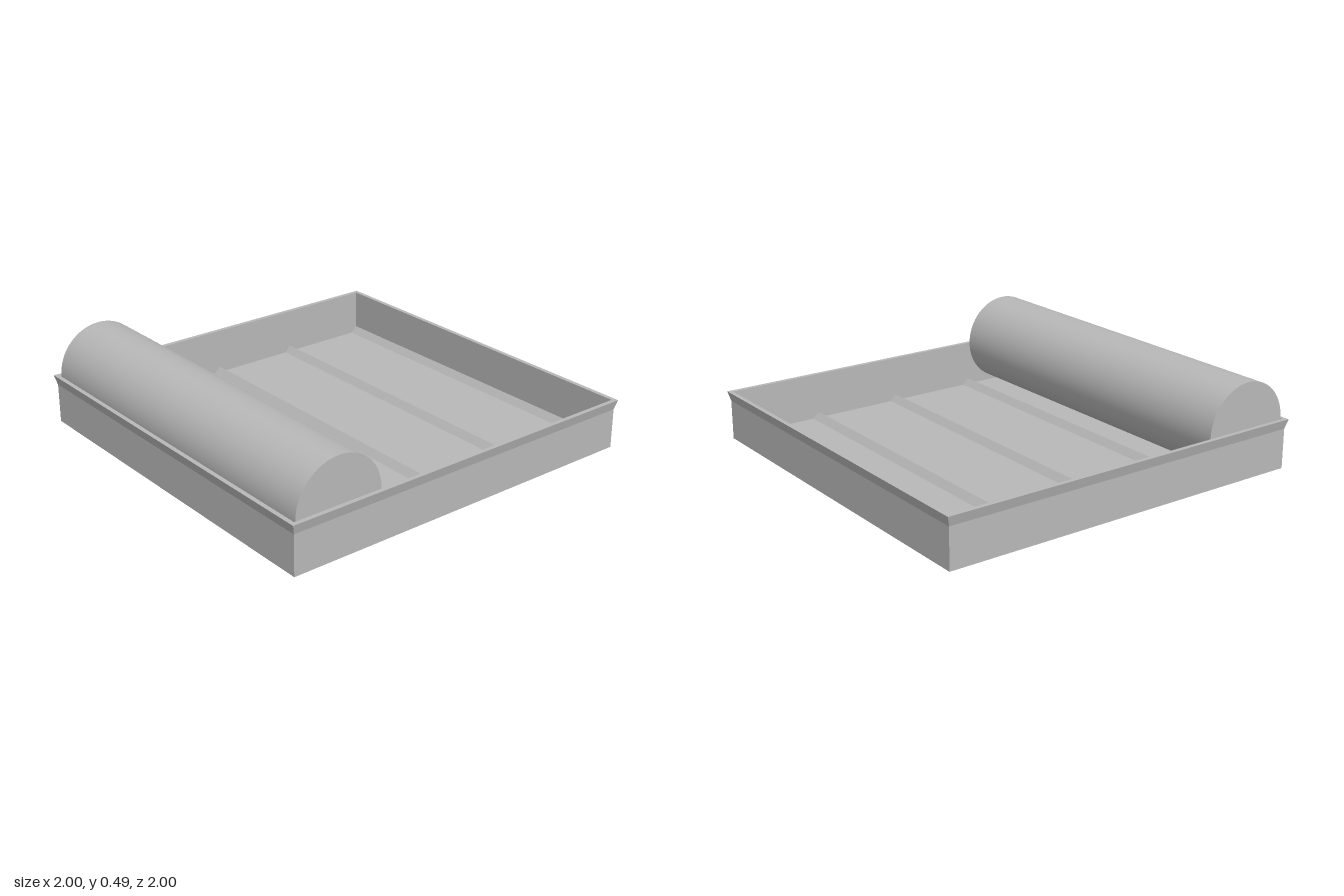
import * as THREE from 'three';

const grey = new THREE.MeshStandardMaterial({ color: 0xb8b8b8 });
grey.name = 'plain grey';

const INNER = 0.977; // half width inside the walls
const FLOOR = 0.012; // top of the floor

function addPart(group, name, geometry) {
  const mesh = new THREE.Mesh(geometry, grey);
  mesh.name = name;
  group.add(mesh);
  return mesh;
}

// Square tray: a wall profile turned in four steps, flaring out at the rim
function trayGeometry() {
  const profile = [
    [0, 0], [0.987, 0], [0.987, 0.205], [1, 0.255],
    [INNER, 0.255], [INNER, FLOOR], [0, FLOOR],
  ].map(([half, y]) => new THREE.Vector2(half * Math.SQRT2, y));
  const geometry = new THREE.LatheGeometry(profile, 4, Math.PI / 4).toNonIndexed();
  geometry.computeVertexNormals();
  return geometry;
}

// Triangular floor ridge along z; left and right are its half widths
function ridgeGeometry(left, right) {
  const shape = new THREE.Shape();
  shape.moveTo(-left, 0);
  shape.lineTo(right, 0);
  shape.lineTo(0, 0.033);
  shape.closePath();
  const geometry = new THREE.ExtrudeGeometry(shape, { depth: INNER * 2, bevelEnabled: false });
  return geometry.translate(0, 0, -INNER);
}

export function createModel() {
  const model = new THREE.Group();
  model.name = 'trayWithRoller';

  addPart(model, 'tray', trayGeometry());

  // Evenly spaced ridges, with half ridges against the side walls
  for (let i = -2; i <= 2; i++) {
    const left = i === -2 ? 0 : 0.033;
    const right = i === 2 ? 0 : 0.033;
    const ridge = addPart(model, 'ridge', ridgeGeometry(left, right));
    ridge.position.set(i * INNER / 2, FLOOR, 0);
  }

  // Roller lying in the first channel
  const roller = addPart(model, 'roller', new THREE.CylinderGeometry(0.234, 0.234, 1.95, 64));
  roller.rotation.x = Math.PI / 2;
  roller.position.set(-0.735, 0.255, 0);

  return model;
}
